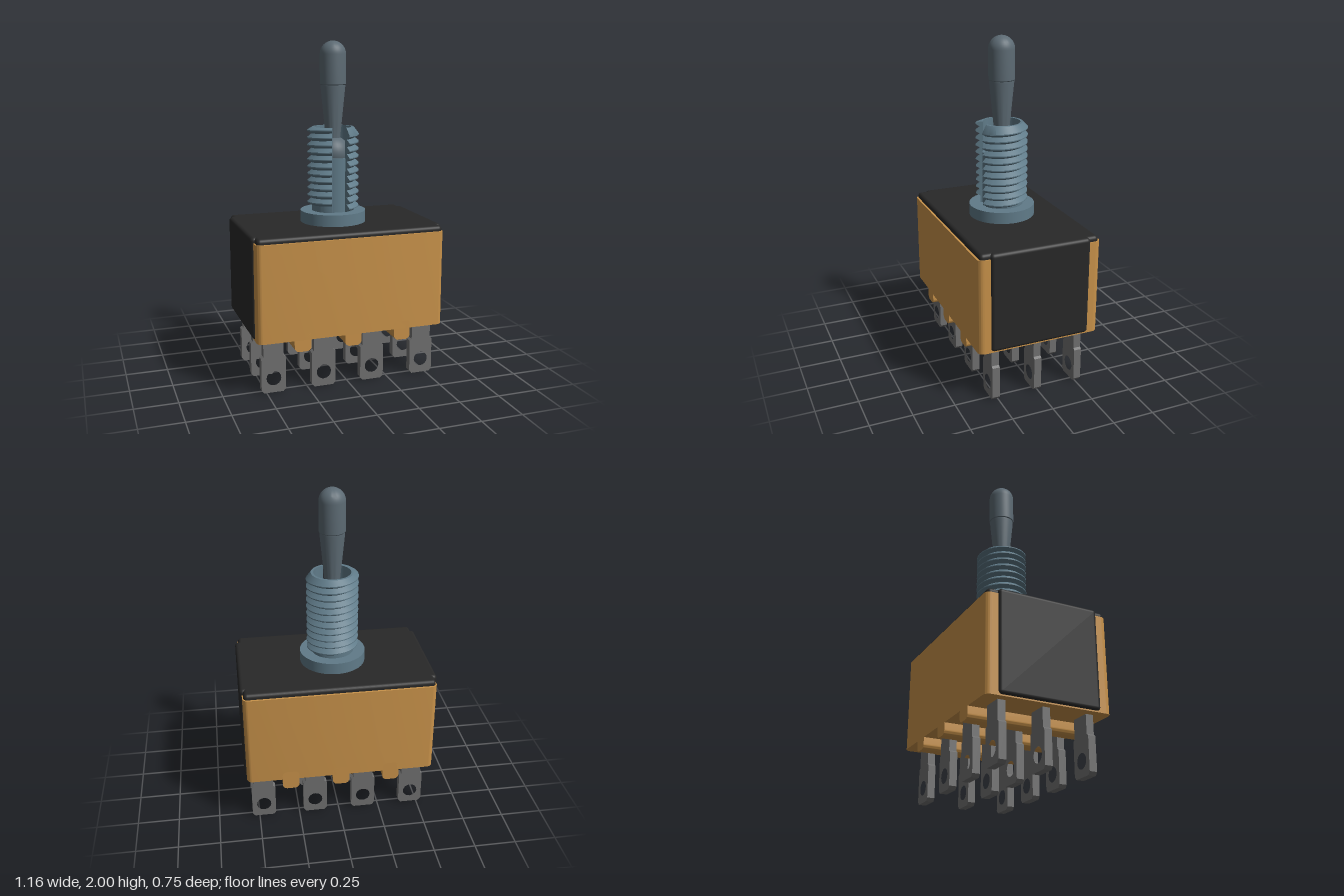
import * as THREE from 'three';
import { toCreasedNormals } from 'three/addons/utils/BufferGeometryUtils.js';
import { RoundedBoxGeometry } from 'three/addons/geometries/RoundedBoxGeometry.js';

const mat = (color, side = THREE.FrontSide) => new THREE.MeshStandardMaterial({ color, side });
const V = (x, y) => new THREE.Vector2(x, y);

function add(parent, name, geometry, material, x = 0, y = 0, z = 0) {
  const mesh = new THREE.Mesh(geometry, material);
  mesh.name = name;
  mesh.position.set(x, y, z);
  parent.add(mesh);
  return mesh;
}

function roundedRect(w, h, r) {
  const s = new THREE.Shape();
  s.absarc(w - r, h - r, r, 0, Math.PI / 2);
  s.absarc(r - w, h - r, r, Math.PI / 2, Math.PI);
  s.absarc(r - w, r - h, r, Math.PI, Math.PI * 1.5);
  s.absarc(w - r, r - h, r, Math.PI * 1.5, Math.PI * 2);
  s.closePath();
  return s;
}

const extrude = (shape, depth) => toCreasedNormals(
  new THREE.ExtrudeGeometry(shape, { depth, bevelEnabled: false, curveSegments: 8 }), 0.6);

// Solder lug: narrow neck, wider blade with clipped corners and a round eye
function lugGeometry() {
  const half = [[0.06, 0.36], [0.06, 0.22], [0.073, 0.21], [0.073, 0.018], [0.058, 0]];
  const right = half.map(([x, y]) => V(x, y));
  const left = half.map(([x, y]) => V(-x, y)).reverse();
  const shape = new THREE.Shape([...right, ...left]);
  shape.holes.push(new THREE.Path().absarc(0, 0.087, 0.044, 0, Math.PI * 2, true));
  const g = extrude(shape, 0.045);
  g.translate(0, 0, -0.0225);
  return g;
}

// Threaded sleeve with a keyway slot facing the front
function addSleeve(parent, material) {
  const pitch = 0.043, crests = 11, gap = 0.36;
  const points = [V(0.128, 1)];
  for (let k = 0; k < crests; k++) {
    const y = 1.04 + k * pitch;
    points.push(V(0.128, y - pitch / 2 + 0.003), V(0.154, y - 0.003), V(0.154, y + 0.003));
  }
  const threadEnd = points.length;
  points.push(V(0.125, 1.5), V(0.11, 1.5), V(0.11, 1));

  // Thread points climb by one pitch per turn; the ends stay level
  const climb = (j, phi) => (j > 0 && j < threadEnd ? pitch * (phi / (2 * Math.PI) - 0.5) : 0);
  const segments = 64, sweep = Math.PI * 2 - 2 * gap;
  const lathe = new THREE.LatheGeometry(points, segments, gap, sweep);
  const pos = lathe.attributes.position;
  for (let i = 0; i < pos.count; i++) {
    const j = i % points.length;
    const phi = gap + sweep * Math.floor(i / points.length) / segments;
    pos.setY(i, pos.getY(i) + climb(j, phi));
  }
  add(parent, 'threadedSleeve', toCreasedNormals(lathe, 0.6), material);

  // Walls of the slot
  for (const phi of [gap, gap + sweep]) {
    const section = points.map((p, j) => V(p.x, p.y + climb(j, phi)));
    const wall = new THREE.ShapeGeometry(new THREE.Shape(section));
    wall.rotateY(phi - Math.PI / 2);
    add(parent, 'slotWall', wall, material);
  }
  add(parent, 'slotFloor', new THREE.CylinderGeometry(0.115, 0.115, 0.32, 48), material, 0, 1.16, 0);
}

export function createModel() {
  const model = new THREE.Group();
  model.name = 'toggleSwitch';
  const amber = mat(0xc8924a), black = mat(0x282828);
  const steel = mat(0x607b89, THREE.DoubleSide), leverMat = mat(0x5c6a73), lugMat = mat(0x707070);

  // Housing with rounded upright corners
  const housing = extrude(roundedRect(0.567, 0.373, 0.035), 0.57);
  housing.rotateX(-Math.PI / 2);
  add(model, 'housing', housing, amber, 0, 0.33, 0);

  // Barrier ribs across the underside
  for (const x of [-0.305, 0, 0.305]) {
    const rib = extrude(roundedRect(0.05, 0.06, 0.028), 0.746);
    add(model, 'barrierRib', rib, amber, x, 0.322, -0.373);
  }

  // Cover: top plate and the folded-down ends
  add(model, 'coverTop', new RoundedBoxGeometry(1.12, 0.13, 0.722, 4, 0.022), black, 0, 0.866, 0);
  add(model, 'coverEnds', new RoundedBoxGeometry(1.16, 0.595, 0.606, 4, 0.022), black, 0, 0.6335, 0);

  // Three rows of four solder lugs
  const lug = lugGeometry();
  for (const z of [-0.26, 0, 0.263])
    for (const x of [-0.457, -0.153, 0.149, 0.47]) add(model, 'solderLug', lug, lugMat, x, 0, z);

  // Mounting collar and sleeve
  add(model, 'collar', new THREE.CylinderGeometry(0.196, 0.196, 0.08, 64), steel, 0, 0.96, 0);
  addSleeve(model, steel);

  // Lever: tapered shaft, straight grip and domed tip
  const profile = [V(0, 1.32), V(0.04, 1.32), V(0.04, 1.4), V(0.05, 1.5), V(0.073, 1.735),
    V(0.073, 1.745), V(0.077, 1.75), V(0.077, 1.923)];
  for (let i = 1; i <= 10; i++) {
    const a = i * Math.PI / 20;
    profile.push(V(Math.max(0, 0.077 * Math.cos(a)), 1.923 + 0.077 * Math.sin(a)));
  }
  add(model, 'lever', toCreasedNormals(new THREE.LatheGeometry(profile, 40), 0.5), leverMat);
  add(model, 'pivotBall', new THREE.SphereGeometry(0.1, 32, 20), leverMat, 0, 1.345, 0);

  return model;
}
